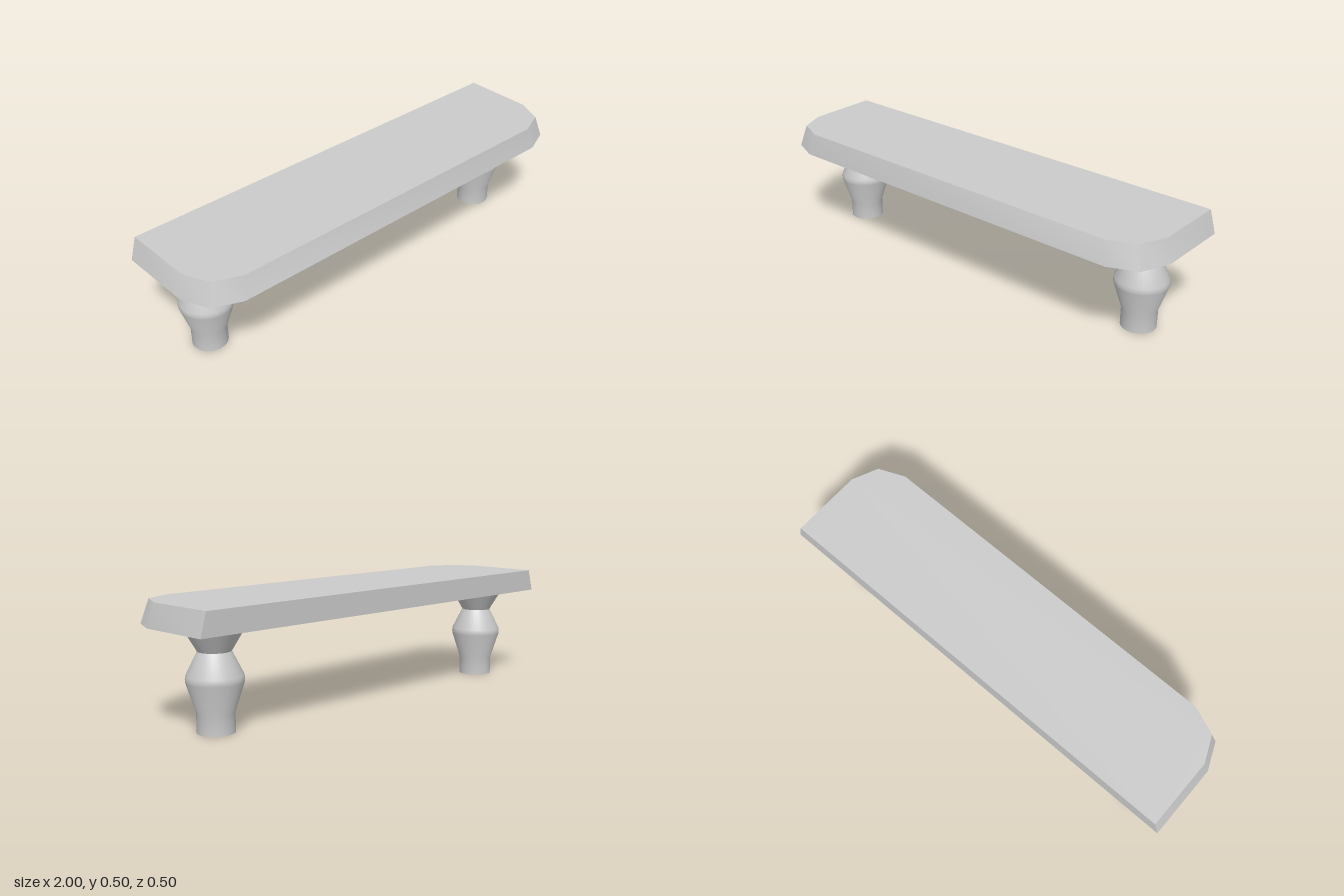
import * as THREE from 'three';
import { toCreasedNormals } from 'three/addons/utils/BufferGeometryUtils.js';

const CREASE = Math.PI / 6;
const SLAB_BOTTOM = 0.408, SLAB_TOP = 0.505, BACK = -0.252;

// Slab: straight back, chamfered front corners, tapering inward to the top
function slabGeometry() {
  const half = [[1, BACK], [1, 0.08], [0.948, 0.2], [0.827, 0.252]];
  const outline = [...half, ...half.map(([x, z]) => [-x, z]).reverse()];
  const shape = new THREE.Shape(outline.map(([x, z]) => new THREE.Vector2(x, -z)));
  const geometry = new THREE.ExtrudeGeometry(shape, { depth: SLAB_TOP - SLAB_BOTTOM, bevelEnabled: false });
  geometry.rotateX(-Math.PI / 2).translate(0, SLAB_BOTTOM, 0);
  const p = geometry.attributes.position;
  for (let i = 0; i < p.count; i++) {
    if (p.getY(i) < SLAB_TOP - 0.01) continue;
    p.setX(i, p.getX(i) * 0.972);
    p.setZ(i, BACK + (p.getZ(i) - BACK) * 0.956);
  }
  return toCreasedNormals(geometry, CREASE);
}

// Turned leg: straight foot, bulging body, narrow neck, flared head, open ends
function legGeometry() {
  const profile = [
    [0.075, 0], [0.075, 0.08], [0.113, 0.198], [0.114, 0.209],
    [0.112, 0.224], [0.066, 0.317], [0.12, SLAB_BOTTOM],
  ].map(([r, y]) => new THREE.Vector2(r, y));
  return toCreasedNormals(new THREE.LatheGeometry(profile, 32), CREASE);
}

export function createModel() {
  const model = new THREE.Group();
  model.name = 'shelfBench';

  const slab = new THREE.Mesh(slabGeometry(), new THREE.MeshStandardMaterial({ color: 0xcccccc }));
  slab.name = 'slab';
  model.add(slab);

  // Pair of legs
  const legMaterial = new THREE.MeshStandardMaterial({ color: 0xcccccc, side: THREE.DoubleSide });
  const legShape = legGeometry();
  for (const side of [1, -1]) {
    const leg = new THREE.Mesh(legShape, legMaterial);
    leg.name = side > 0 ? 'leftLeg' : 'rightLeg';
    leg.position.set(side * 0.8, 0, -0.067);
    model.add(leg);
  }
  return model;
}
